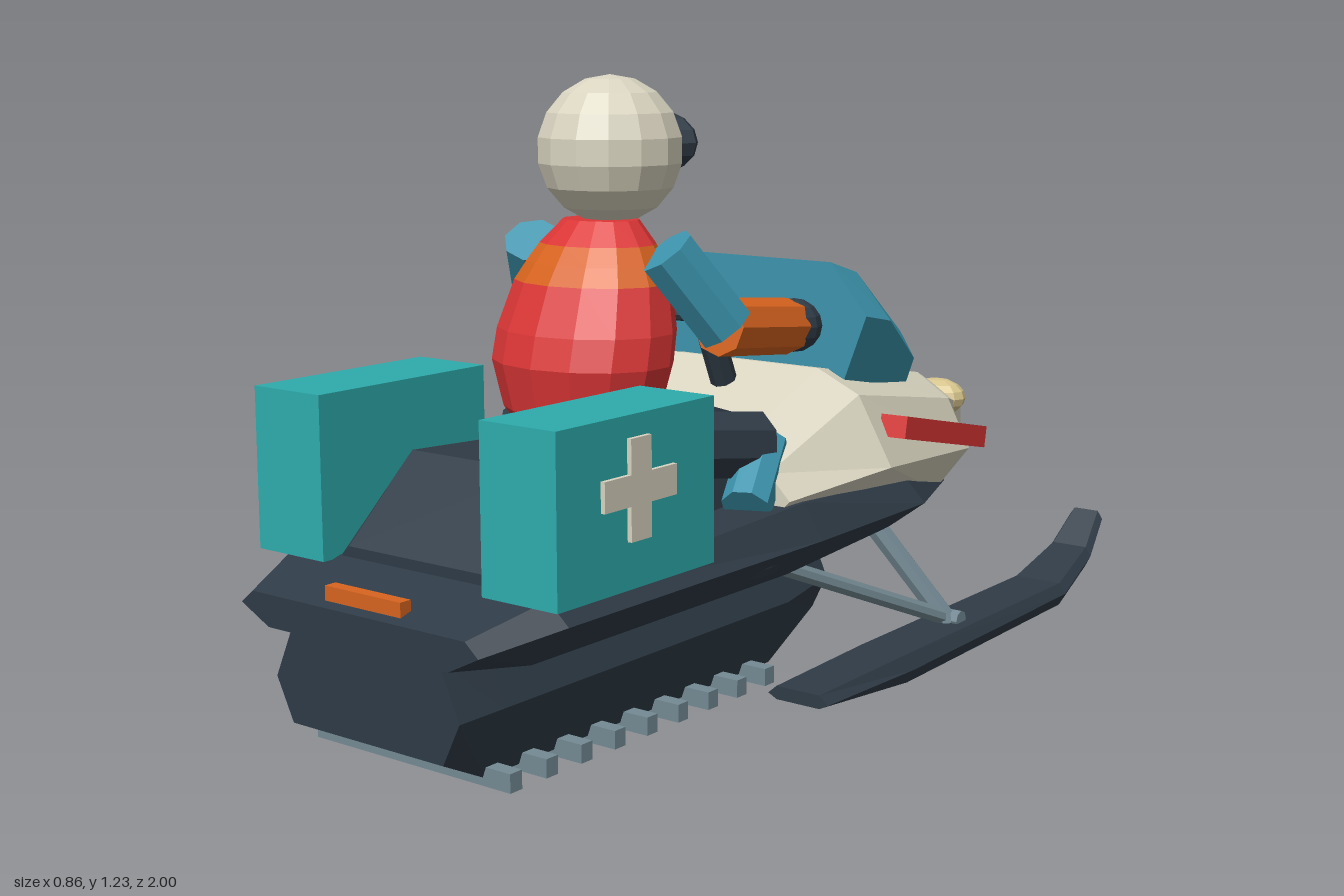
import * as THREE from 'three';

const mat = (name, color) => {
  const m = new THREE.MeshStandardMaterial({ color });
  m.name = name;
  return m;
};

export function createModel() {
  const dark = mat('charcoal', 0x2f3b46);
  const cream = mat('cream', 0xd9d4c0);
  const red = mat('red', 0xdc3636);
  const teal = mat('teal', 0x2eabab);
  const blue = mat('steel blue', 0x3c94ad);
  const orange = mat('orange', 0xd8641f);
  const metal = mat('grey metal', 0x748a94);
  const amber = mat('pale amber', 0xd6c48c);

  const model = new THREE.Group();
  model.name = 'snowmobileWithRider';

  // Facet a geometry and add it as a named mesh
  const add = (name, geo, material, parent = model) => {
    const g = geo.index ? geo.toNonIndexed() : geo;
    g.computeVertexNormals();
    const mesh = new THREE.Mesh(g, material);
    mesh.name = name;
    parent.add(mesh);
    return mesh;
  };
  const V = (x, y, z) => new THREE.Vector3(x, y, z);

  // Loft of mirrored half sections [z, [x, y]...], bottom to top, from rear to nose
  const loft = (sections, cx = 0) => {
    const rings = sections.map(([z, ...h]) => [
      ...h.map(([x, y]) => [cx + x, y, z]),
      ...[...h].reverse().map(([x, y]) => [cx - x, y, z]),
    ]);
    const n = rings[0].length;
    const p = [];
    for (let r = 0; r < rings.length - 1; r++) {
      for (let i = 0; i < n; i++) {
        const j = (i + 1) % n;
        const [a, b, c, d] = [rings[r][i], rings[r][j], rings[r + 1][i], rings[r + 1][j]];
        p.push(...a, ...c, ...b, ...b, ...c, ...d);
      }
    }
    const last = rings[rings.length - 1];
    for (let i = 1; i < n - 1; i++) {
      p.push(...rings[0][0], ...rings[0][i], ...rings[0][i + 1]);
      p.push(...last[0], ...last[i + 1], ...last[i]);
    }
    const g = new THREE.BufferGeometry();
    g.setAttribute('position', new THREE.Float32BufferAttribute(p, 3));
    return g;
  };
  const rod = (name, a, b, r, material, sides = 8, r2 = r) => {
    const g = new THREE.CylinderGeometry(r2, r, a.distanceTo(b), sides);
    const m = add(name, g, material);
    m.position.copy(a).lerp(b, 0.5);
    m.quaternion.setFromUnitVectors(V(0, 1, 0), b.clone().sub(a).normalize());
    return m;
  };
  const ball = (name, c, r, material, w = 12, h = 8) => {
    const m = add(name, new THREE.SphereGeometry(1, w, h).scale(...r), material);
    m.position.set(...c);
    return m;
  };
  const box = (name, size, c, material) => {
    const m = add(name, new THREE.BoxGeometry(...size), material);
    m.position.set(...c);
    return m;
  };

  // Track and cleats
  add('track', loft([
    [0.98, [0.185, 0.09], [0.225, 0.17], [0.18, 0.27]],
    [0.87, [0.175, 0.035], [0.225, 0.17], [0.18, 0.28]],
    [0.03, [0.175, 0.035], [0.225, 0.17], [0.18, 0.28]],
    [-0.12, [0.18, 0.12], [0.215, 0.19], [0.18, 0.27]],
  ]), dark);
  for (let i = 0; i < 9; i++) {
    box('trackCleat', [0.48, 0.035, 0.03], [0, 0.04, 0.86 - i * 0.093], metal);
  }

  // Lower body with running boards
  add('hull', loft([
    [1.0, [0.22, 0.265], [0.29, 0.30], [0.26, 0.325]],
    [0.85, [0.27, 0.25], [0.355, 0.33], [0.31, 0.37]],
    [0.1, [0.27, 0.25], [0.355, 0.33], [0.31, 0.40]],
    [-0.3, [0.25, 0.265], [0.34, 0.33], [0.29, 0.38]],
    [-0.58, [0.15, 0.295], [0.22, 0.315], [0.18, 0.36]],
  ]), dark);
  add('seat', loft([
    [0.85, [0.21, 0.35], [0.19, 0.37], [0.17, 0.39]],
    [0.7, [0.22, 0.35], [0.19, 0.5], [0.155, 0.545]],
    [0.4, [0.22, 0.35], [0.19, 0.48], [0.155, 0.53]],
    [0.16, [0.2, 0.35], [0.17, 0.53], [0.13, 0.58]],
    [0.06, [0.18, 0.35], [0.16, 0.5], [0.12, 0.55]],
  ]), dark);
  box('tailLight', [0.185, 0.032, 0.025], [0, 0.342, 0.968], orange);

  // Hood, windscreen
  add('hood', loft([
    [0.15, [0.27, 0.37], [0.31, 0.41], [0.26, 0.46], [0.17, 0.495]],
    [-0.12, [0.27, 0.36], [0.37, 0.44], [0.29, 0.58], [0.19, 0.625]],
    [-0.54, [0.22, 0.3], [0.305, 0.405], [0.25, 0.51], [0.17, 0.56]],
    [-0.74, [0.13, 0.32], [0.165, 0.395], [0.165, 0.46], [0.13, 0.48]],
  ]), cream);
  add('windscreen', loft([
    [-0.16, [0.22, 0.58], [0.28, 0.735], [0.19, 0.84]],
    [-0.26, [0.22, 0.57], [0.275, 0.715], [0.19, 0.81]],
    [-0.435, [0.2, 0.54], [0.225, 0.61], [0.19, 0.665]],
  ]), blue);

  // Steering column and bar
  rod('steeringColumn', V(0, 0.57, -0.06), V(0, 0.73, 0.01), 0.028, dark);
  rod('handlebar', V(-0.2, 0.73, 0.01), V(0.2, 0.73, 0.01), 0.014, dark);

  // Rider torso: lathe profile [radius, height], leaning forward
  const torso = (name, profile, material) => {
    const g = new THREE.LatheGeometry(profile.map(([r, y]) => new THREE.Vector2(r, y)), 14);
    const p = g.attributes.position;
    for (let i = 0; i < p.count; i++) {
      const y = p.getY(i);
      p.setZ(i, p.getZ(i) * 0.78 + 0.4 - Math.max(0, y - 0.68) * 0.22);
    }
    add(name, g, material);
  };
  torso('torso', [[0, 0.545], [0.12, 0.545], [0.165, 0.6], [0.19, 0.69], [0.188, 0.75], [0.165, 0.84]], red);
  torso('chestBand', [[0.165, 0.84], [0.145, 0.875], [0.122, 0.91]], orange);
  torso('collar', [[0.122, 0.91], [0.08, 0.955], [0, 0.955]], red);

  // Helmet and goggles
  ball('helmet', [0, 1.085, 0.31], [0.142, 0.142, 0.142], cream, 14, 9);
  ball('goggleFrame', [0, 1.095, 0.185], [0.11, 0.065, 0.05], dark);
  ball('goggleLens', [0, 1.095, 0.16], [0.088, 0.04, 0.042], blue);

  for (const s of [1, -1]) {
    // Arms and gloves
    rod('upperArm', V(s * 0.165, 0.905, 0.35), V(s * 0.23, 0.755, 0.25), 0.058, blue);
    rod('forearm', V(s * 0.225, 0.757, 0.265), V(s * 0.21, 0.73, 0.02), 0.056, orange);
    ball('glove', [s * 0.212, 0.73, 0], [0.057, 0.054, 0.057], dark);

    // Legs and boots
    rod('thigh', V(s * 0.12, 0.54, 0.42), V(s * 0.19, 0.5, 0.1), 0.07, dark);
    rod('shin', V(s * 0.2, 0.5, 0.08), V(s * 0.25, 0.4, 0.21), 0.05, blue);
    ball('boot', [s * 0.275, 0.32, 0.23], [0.055, 0.055, 0.1], dark);

    // Headlight and side stripe
    ball('headlight', [s * 0.16, 0.49, -0.645], [0.068, 0.042, 0.048], amber);
    const stripe = box('sideStripe', [0.06, 0.046, 0.375], [s * 0.328, 0.474, -0.355], red);
    stripe.lookAt(s * 0.353, 0.554, 0.015);

    // Ski
    add('ski', loft([
      [0.19, [0.05, 0.025], [0.07, 0.035], [0.05, 0.052]],
      [-0.12, [0.055, 0], [0.072, 0.03], [0.055, 0.06]],
      [-0.77, [0.055, 0.018], [0.07, 0.045], [0.055, 0.068]],
      [-0.92, [0.042, 0.075], [0.055, 0.1], [0.042, 0.12]],
      [-1.0, [0.03, 0.15], [0.042, 0.172], [0.03, 0.19]],
    ], s * 0.36), dark);

    // Suspension struts
    rod('rearStrut', V(s * 0.2, 0.28, 0.13), V(s * 0.36, 0.065, -0.38), 0.018, metal);
    rod('frontStrut', V(s * 0.21, 0.29, -0.28), V(s * 0.36, 0.06, -0.37), 0.024, metal);
    rod('skiPivot', V(s * 0.33, 0.068, -0.375), V(s * 0.39, 0.068, -0.375), 0.02, metal);

    // Pannier with cross
    box('pannier', [0.17, 0.305, 0.425], [s * 0.28, 0.517, 0.677], teal);
    box('crossUpright', [0.009, 0.18, 0.055], [s * 0.3695, 0.54, 0.68], cream);
    for (const e of [1, -1]) {
      box('crossArm', [0.009, 0.055, 0.07], [s * 0.3695, 0.54, 0.68 + e * 0.0625], cream);
    }
  }
  return model;
}
